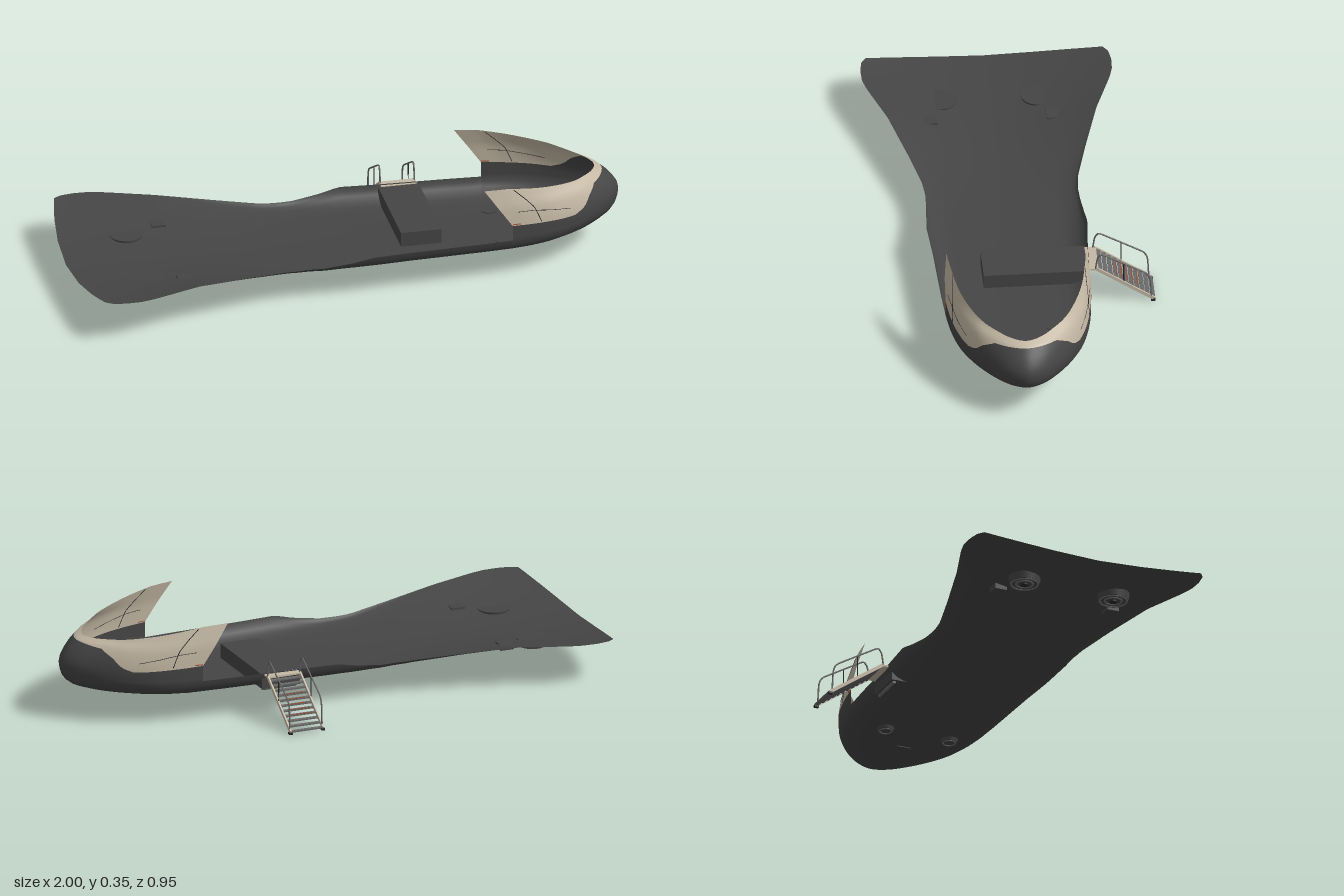
import * as THREE from 'three';

const mat = (name, color, side = THREE.FrontSide) => {
  const m = new THREE.MeshStandardMaterial({ color, side });
  m.name = name;
  return m;
};
const CZ = 0.03; // hull centre line

// piecewise-linear lookup in [[x, y], ...]
function lerpTable(table, x) {
  if (x <= table[0][0]) return table[0][1];
  for (let i = 1; i < table.length; i++) {
    const [x0, y0] = table[i - 1], [x1, y1] = table[i];
    if (x <= x1) return y0 + (y1 - y0) * (x - x0) / (x1 - x0);
  }
  return table[table.length - 1][1];
}

// smooth sheet from rows x columns of points
function sheet(rows, cols, fn) {
  const pos = [], idx = [];
  for (let r = 0; r <= rows; r++) for (let c = 0; c <= cols; c++) {
    pos.push(...fn(r, c));
    if (r < rows && c < cols) {
      const a = r * (cols + 1) + c, b = a + cols + 1;
      idx.push(a, a + 1, b, b, a + 1, b + 1);
    }
  }
  const g = new THREE.BufferGeometry();
  g.setAttribute('position', new THREE.Float32BufferAttribute(pos, 3));
  g.setIndex(idx);
  g.computeVertexNormals();
  return g;
}

// cross-section shared by the deck and the nose
const U = [0, 0.4, 0.7, 0.8, 0.88, 0.95, 0.985, 1];
const Y = [0.09, 0.09, 0.092, 0.099, 0.108, 0.122, 0.137, 0.155];
const FX = [0, 0.4, 0.62, 0.72, 0.81, 0.9, 0.945, 0.975];

// deck: half width, edge height and keel height along the length
const WIDTH = [[-0.95, 0.42], [-0.925, 0.437], [-0.88, 0.445], [-0.82, 0.443], [-0.77, 0.43], [-0.6, 0.37],
  [-0.4, 0.315], [-0.25, 0.277], [-0.18, 0.27], [-0.1, 0.274], [0.05, 0.285], [0.2, 0.275], [0.45, 0.265], [0.56, 0.258]];
const EDGE = [[-0.95, 0.155], [-0.6, 0.155], [-0.4, 0.14], [-0.22, 0.126], [-0.12, 0.126], [-0.02, 0.14], [0.05, 0.156], [0.56, 0.155]];
const KEEL = [[-0.95, 0.103], [-0.6, 0.093], [-0.3, 0.09]];

function deckPoint(x, u, n) {
  const b = lerpTable(KEEL, x), e = lerpTable(EDGE, x), a = Math.abs(u);
  const k = THREE.MathUtils.smoothstep(x, -0.6, 0.1);
  const rel = (1 - k) * Math.pow(a, 1.7) + k * (Y[n] - 0.09) / 0.065;
  const sweep = 0.05 * (1 - u * u) * (1 - THREE.MathUtils.smoothstep(x, -0.95, -0.6));
  return [x - sweep, b + (e - b) * rel, CZ + u * lerpTable(WIDTH, x)];
}

// nose: plan outline and vertical profiles
const HALF = [[0.56, 0.258], [0.65, 0.246], [0.75, 0.22], [0.85, 0.17], [0.93, 0.11], [0.98, 0.055]];
const PLAN = new THREE.CatmullRomCurve3([
  ...HALF.map(([x, z]) => new THREE.Vector3(x, 0, -z)),
  new THREE.Vector3(1, 0, 0),
  ...HALF.slice().reverse().map(([x, z]) => new THREE.Vector3(x, 0, z))]);
const NOSE_X = [[0.155, 0.975], [0.19, 1], [0.22, 0.985], [0.25, 0.94], [0.27, 0.895], [0.285, 0.85], [0.3, 0.77], [0.36, 0.6]];
const NOSE_Z = [[0.28, 1], [0.3, 0.99], [0.355, 0.96]];
const SPLIT = [[0.56, 0.212], [0.8, 0.2], [0.84, 0.215], [0.88, 0.248], [0.93, 0.274], [1, 0.282]];
const RIM = [[0.56, 0.355], [0.65, 0.35], [0.78, 0.325], [0.9, 0.305], [1, 0.295]];

function nosePoint(t, y, grow = 1) {
  const p = PLAN.getPoint(t);
  const rake = Math.max(0, y - 0.212) / 0.143 * 0.1 * Math.max(0, 1 - (p.x - 0.56) / 0.3);
  return [0.56 + (p.x - 0.56) * lerpTable(NOSE_X, y) * grow - rake, y, CZ + p.z * lerpTable(NOSE_Z, y) * grow];
}

export function createModel() {
  const model = new THREE.Group();
  const hull = mat('charcoal hull', 0x454545, THREE.DoubleSide);
  const tan = mat('tan panel', 0xc4b8a4, THREE.DoubleSide);
  const dark = mat('dark trim', 0x2a2a2a);
  const fitting = mat('charcoal fitting', 0x454545);
  const steel = mat('grey steel', 0x6a6a6a);
  const red = mat('rust red', 0xa0492b);
  const add = (name, geo, m, x = 0, y = 0, z = 0, parent = model) => {
    const o = new THREE.Mesh(geo, m);
    o.name = name;
    o.position.set(x, y, z);
    parent.add(o);
    return o;
  };
  const box = (name, w, h, d, m, x, y, z, parent) => add(name, new THREE.BoxGeometry(w, h, d), m, x, y, z, parent);
  const tube = (name, pts, r, m, parent, n = 24) => add(name, new THREE.TubeGeometry(
    new THREE.CatmullRomCurve3(pts.map(p => new THREE.Vector3(...p)), false, 'catmullrom', 0.2), n, r, 6), m, 0, 0, 0, parent);

  // open deck with flared tail
  const span = U.length - 1;
  add('deck', sheet(60, span * 2, (r, c) => {
    const n = Math.abs(c - span), u = Math.sign(c - span) * U[n];
    return deckPoint(-0.95 + 1.51 * r / 60, u, n);
  }), hull);

  // rounded nose bowl, then the raked tan collar above it
  const SEG = 72;
  add('noseBowl', sheet(span + 6, SEG, (r, c) => {
    const t = c / SEG, p = PLAN.getPoint(t);
    if (r <= span) return [0.56 + (p.x - 0.56) * FX[r], Y[r], CZ + p.z * U[r]];
    return nosePoint(t, THREE.MathUtils.lerp(0.155, lerpTable(SPLIT, p.x), (r - span) / 6));
  }), hull);
  add('noseCollar', sheet(8, SEG, (r, c) => {
    const t = c / SEG, x = PLAN.getPoint(t).x;
    return nosePoint(t, THREE.MathUtils.lerp(lerpTable(SPLIT, x), lerpTable(RIM, x), r / 8));
  }), tan);

  // seams and a small marker on both sides of the collar
  const seam = (name, pts, m, r) => {
    for (const flip of [false, true])
      tube(name, pts.map(([t, y]) => nosePoint(flip ? 1 - t : t, y, 1.001)), r, m);
  };
  seam('uprightSeam', [[0.095, 0.343], [0.105, 0.31], [0.108, 0.27], [0.1, 0.212]], dark, 0.0014);
  seam('lowerSeam', [[0.05, 0.262], [0.1, 0.258], [0.15, 0.245], [0.2, 0.232]], dark, 0.0012);
  seam('marker', [[0.003, 0.217], [0.03, 0.216]], red, 0.002);

  // lift discs and square hatches, mirrored about the centre line
  for (const s of [-1, 1]) {
    add('liftDisc', new THREE.CylinderGeometry(0.058, 0.054, 0.026, 32), fitting, -0.745, 0.1, CZ + s * 0.172);
    for (const r of [0.048, 0.03]) {
      const ring = add('liftRing', new THREE.TorusGeometry(r, 0.004, 8, 32), steel, -0.745, 0.087, CZ + s * 0.172);
      ring.rotation.x = Math.PI / 2;
    }
    add('liftHub', new THREE.CylinderGeometry(0.014, 0.014, 0.008, 16), dark, -0.745, 0.085, CZ + s * 0.172);
    box('tailHatch', 0.05, 0.02, 0.046, fitting, -0.62, 0.112, CZ + s * 0.217);
    add('landingPad', new THREE.CylinderGeometry(0.032, 0.028, 0.014, 24), fitting, 0.56, 0.086, CZ + s * 0.123);
    const padRing = add('padRing', new THREE.TorusGeometry(0.022, 0.003, 6, 24), steel, 0.56, 0.079, CZ + s * 0.123);
    padRing.rotation.x = Math.PI / 2;
  }
  box('noseHatch', 0.05, 0.008, 0.05, fitting, 0.7, 0.092, CZ);

  // entry floor and landing
  box('entryFloor', 0.146, 0.054, 0.37, fitting, 0.263, 0.123, -0.05);
  box('landing', 0.13, 0.006, 0.04, tan, 0.265, 0.149, -0.253);
  const hinge = add('hinge', new THREE.CylinderGeometry(0.006, 0.006, 0.13, 12), steel, 0.265, 0.093, -0.221);
  hinge.rotation.z = Math.PI / 2;

  // stairs with stringers, treads and bent handrails
  const stairs = new THREE.Group();
  stairs.name = 'stairs';
  model.add(stairs);
  for (const x of [0.203, 0.327]) {
    const stringer = box('stringer', 0.006, 0.012, 0.25, tan, x, 0.079, -0.368, stairs);
    stringer.rotation.x = -Math.atan2(0.147, 0.21);
    tube('handrail', [[x, 0.15, -0.262], [x, 0.195, -0.269], [x, 0.211, -0.28], [x, 0.207, -0.295], [x, 0.125, -0.435],
      [x, 0.108, -0.451], [x, 0.085, -0.457], [x, 0.01, -0.461]], 0.003, steel, stairs, 40);
    tube('railPost', [[x, 0.085, -0.362], [x, 0.167, -0.362]], 0.002, dark, stairs, 2);
    box('foot', 0.012, 0.007, 0.016, dark, x, 0.0035, -0.467, stairs);
  }
  const TREADS = 11;
  for (let i = 0; i < TREADS; i++) {
    const k = i / (TREADS - 1), y = 0.14 - 0.13 * k, z = -0.28 - 0.186 * k;
    box('tread', 0.12, 0.005, 0.015, steel, 0.265, y, z, stairs);
    if (i > 2 && i < 8) box('treadStrip', 0.08, 0.002, 0.003, red, 0.265, y + 0.003, z - 0.004, stairs);
  }
  return model;
}
